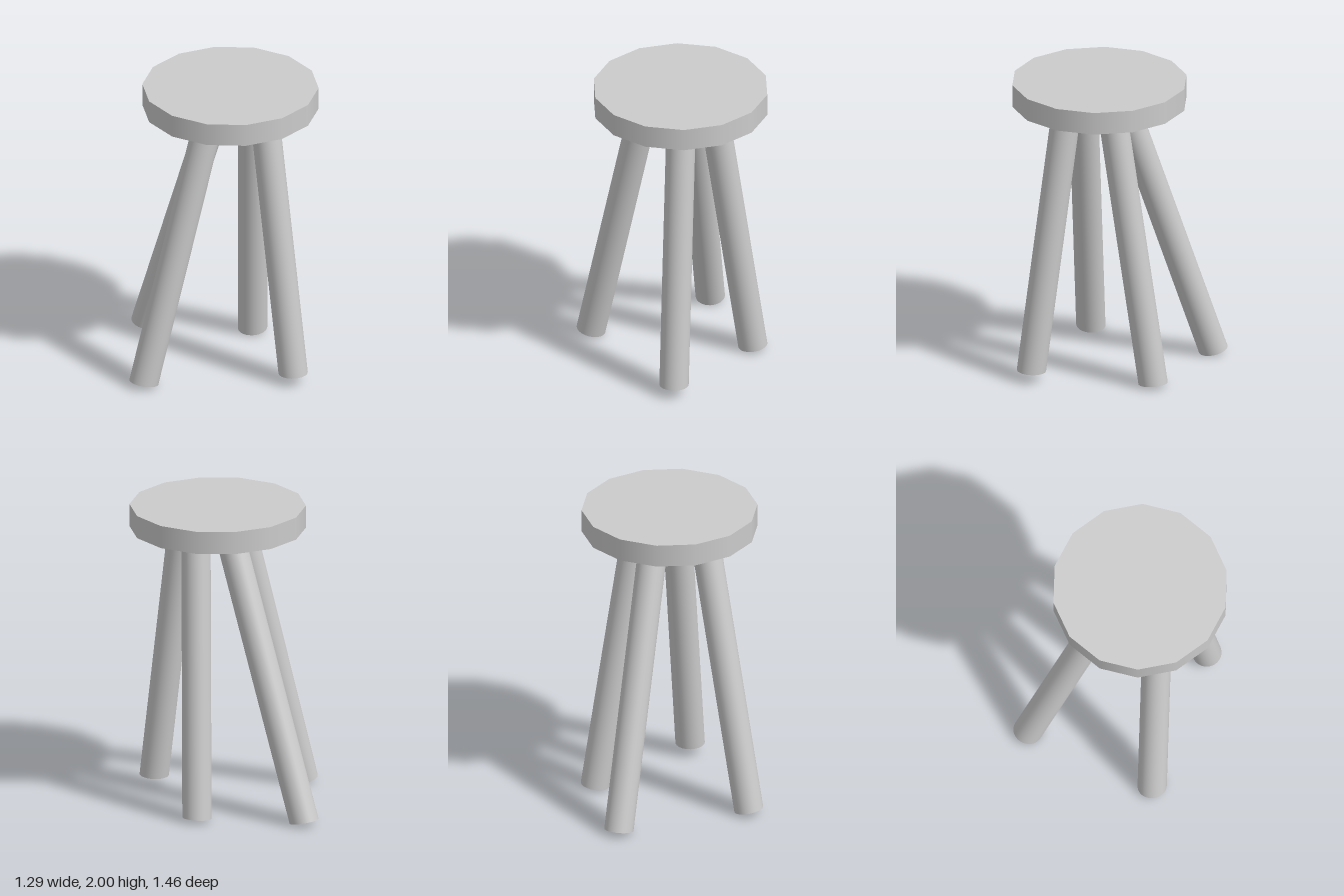
import * as THREE from 'three';

const material = new THREE.MeshStandardMaterial({ color: 0xcccccc });
const tubeMaterial = new THREE.MeshStandardMaterial({ color: 0xcccccc, side: THREE.DoubleSide });
const LEG_RADIUS = 0.095;

// Open round tube from foot to top; both end rings are square to endNormal
function makeLeg(name, foot, top, endNormal) {
  const a = new THREE.Vector3(...foot);
  const b = new THREE.Vector3(...top);
  const tilt = new THREE.Quaternion().setFromUnitVectors(
    new THREE.Vector3(0, 1, 0), new THREE.Vector3(...endNormal).normalize());
  const u = new THREE.Vector3(LEG_RADIUS, 0, 0).applyQuaternion(tilt);
  const w = new THREE.Vector3(0, 0, LEG_RADIUS).applyQuaternion(tilt);
  const placing = new THREE.Matrix4()
    .makeBasis(u, b.clone().sub(a), w)
    .setPosition(a.clone().add(b).multiplyScalar(0.5));
  const geometry = new THREE.CylinderGeometry(1, 1, 1, 32, 1, true).applyMatrix4(placing);
  const leg = new THREE.Mesh(geometry, tubeMaterial);
  leg.name = name;
  return leg;
}

export function createModel() {
  const stool = new THREE.Group();
  stool.name = 'stool';

  // Fourteen-sided seat with a corner on each side
  const seat = new THREE.Mesh(new THREE.CylinderGeometry(0.57, 0.57, 0.15, 14), material);
  seat.name = 'seat';
  seat.rotation.y = Math.PI / 2;
  seat.position.set(0.07, 1.925, 0.14);
  stool.add(seat);

  // Splayed legs
  stool.add(
    makeLeg('frontLeg', [0.12, 0.073, 0.635], [0.12, 1.848, 0.39], [0, 1, -0.045]),
    makeLeg('backLeg', [0.12, 0.026, -0.633], [0.12, 1.86, 0.003], [0, 1, 0.23]),
    makeLeg('rightLeg', [-0.555, 0.03, -0.055], [-0.16, 1.86, 0.16], [0.215, 1, 0.03]),
    makeLeg('leftLeg', [0.508, 0.023, -0.055], [0.287, 1.86, 0.14], [-0.12, 1, 0.03]),
  );
  return stool;
}
